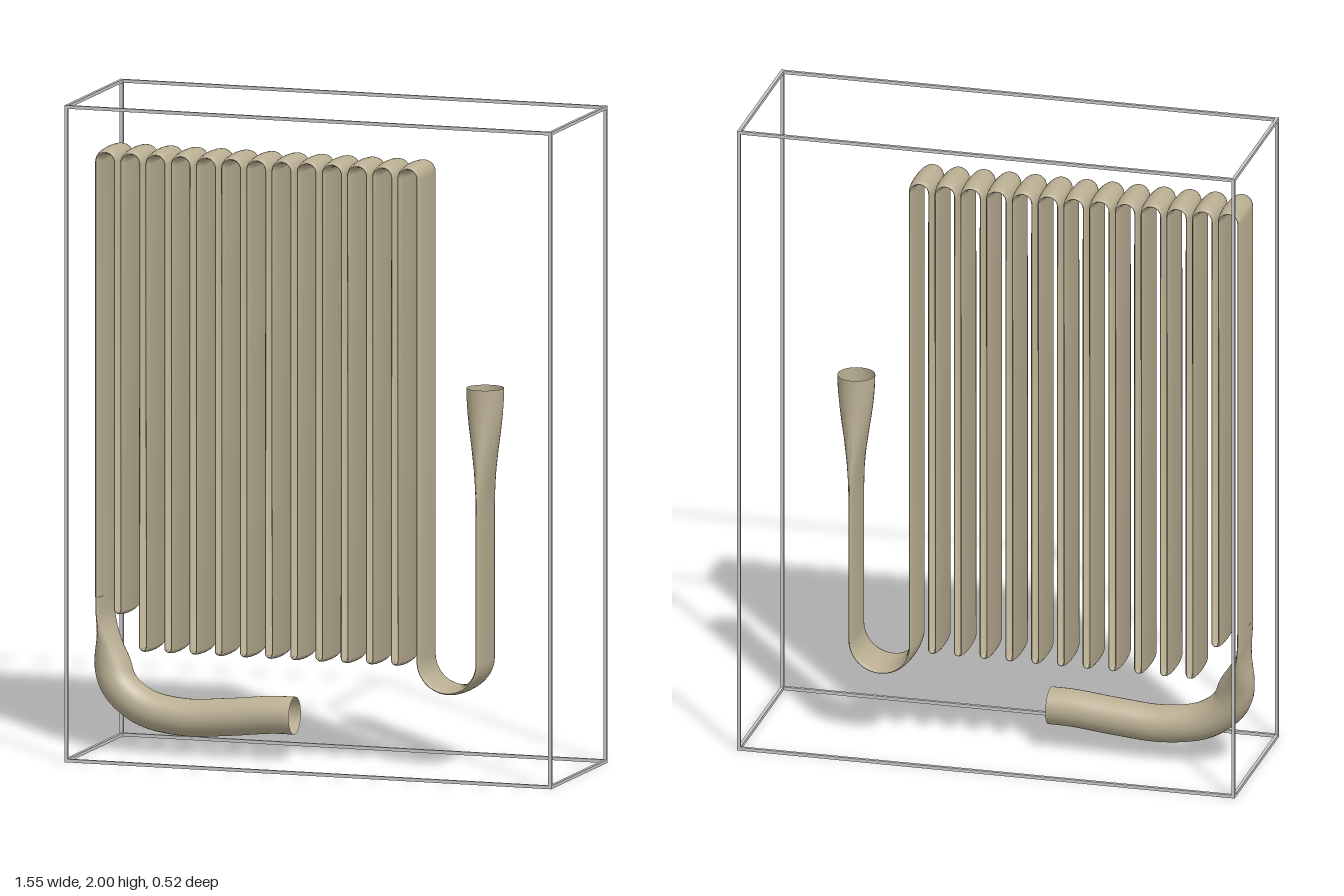
import * as THREE from 'three';
import { toCreasedNormals } from 'three/addons/utils/BufferGeometryUtils.js';

const SIDES = 28;
const ROUND = 0.057;                  // radius of the round ends
const FLAT_W = 0.084, FLAT_T = 0.0105; // half width and half thickness of the flattened tube
const MID_Z = -0.035;
const V = (x, y, z = MID_Z) => new THREE.Vector3(x, y, z);

// Sweep a section that morphs from round (flat = 0) to a thin ellipse (flat = 1)
function sweep(points, flatAt) {
  const pos = [], index = [];
  points.forEach((p, i) => {
    const a = points[Math.max(i - 1, 0)], b = points[Math.min(i + 1, points.length - 1)];
    const T = b.clone().sub(a).normalize();
    const N = new THREE.Vector3(T.y, -T.x, 0).normalize();
    const B = T.clone().cross(N);
    const f = flatAt(p);
    const w = THREE.MathUtils.lerp(ROUND, FLAT_W, f), n = THREE.MathUtils.lerp(ROUND, FLAT_T, f);
    for (let j = 0; j < SIDES; j++) {
      const t = (j / SIDES) * Math.PI * 2;
      const q = p.clone().addScaledVector(B, w * Math.cos(t)).addScaledVector(N, n * Math.sin(t));
      pos.push(q.x, q.y, q.z);
      if (i < points.length - 1) {
        const k = (j + 1) % SIDES, r = i * SIDES, s = r + SIDES;
        index.push(r + j, s + j, r + k, r + k, s + j, s + k);
      }
    }
  });
  const g = new THREE.BufferGeometry();
  g.setAttribute('position', new THREE.Float32BufferAttribute(pos, 3));
  g.setIndex(index);
  return toCreasedNormals(g, 1.2);
}

// Half turn from the left side to the right side, over the top (dir 1) or under (dir -1)
function halfTurn(cx, cy, r, dir, steps = 14) {
  return Array.from({ length: steps + 1 }, (_, i) => {
    const a = Math.PI * (1 - i / steps);
    return V(cx + r * Math.cos(a), cy + dir * r * Math.sin(a));
  });
}

export function createModel() {
  const model = new THREE.Group();
  const tubeMat = new THREE.MeshStandardMaterial({ color: 0xbaaf93, side: THREE.DoubleSide });
  tubeMat.name = 'tan tube';
  const frameMat = new THREE.MeshStandardMaterial({ color: 0xc8c8c8 });
  frameMat.name = 'light grey frame';

  const add = (name, geometry, material, parent = model) => {
    const mesh = new THREE.Mesh(geometry, material);
    mesh.name = name;
    parent.add(mesh);
    return mesh;
  };

  // Round pipe at the bottom, flattening as it bends upward
  const inletPath = new THREE.CatmullRomCurve3([
    V(-0.13, 0.136, 0.003), V(-0.2, 0.135, 0.003), V(-0.34, 0.121, 0.003), V(-0.48, 0.113, 0.003),
    V(-0.61, 0.138, 0.001), V(-0.69, 0.2, -0.006), V(-0.718, 0.275, -0.018), V(-0.732, 0.34, -0.029),
    V(-0.744, 0.41), V(-0.746, 0.47),
  ]);
  add('inletPipe', sweep(inletPath.getSpacedPoints(60),
    (p) => THREE.MathUtils.smoothstep(p.y, 0.24, 0.41)), tubeMat);

  // Flat serpentine: wide turns on top, tight turns below
  const coil = [V(-0.746, 0.47)];
  for (let i = 0; i < 13; i++) {
    const x = -0.716 + i * 0.08;
    coil.push(...halfTurn(x, 1.797, 0.03, 1));
    if (i < 12) coil.push(...halfTurn(x + 0.04, i === 0 ? 0.437 : 0.327, 0.0105, -1));
  }
  coil.push(V(0.274, 0.34));
  add('serpentineTube', sweep(coil, () => 1), tubeMat);

  // Large U bend rising to a flared open mouth
  const outlet = [V(0.274, 0.34), ...halfTurn(0.368, 0.33, 0.094, -1, 28)];
  for (let i = 0; i <= 20; i++) outlet.push(V(0.462, 0.76 + 0.02 * i));
  add('outletTube', sweep(outlet, (p) => 1 - THREE.MathUtils.smoothstep(p.y, 0.76, 1.16)), tubeMat);

  // Open box frame made of twelve thin bars
  const frame = new THREE.Group();
  frame.name = 'frame';
  model.add(frame);
  const bar = 0.01, size = [1.546, 2, 0.522];
  for (let axis = 0; axis < 3; axis++) {
    for (const s of [-1, 1]) for (const t of [-1, 1]) {
      const dims = [bar, bar, bar], at = [0, 0, 0];
      const b = (axis + 1) % 3, c = (axis + 2) % 3;
      dims[axis] = size[axis];
      at[b] = (s * (size[b] - bar)) / 2;
      at[c] = (t * (size[c] - bar)) / 2;
      add('frameBar', new THREE.BoxGeometry(...dims), frameMat, frame)
        .position.set(at[0], at[1] + 1, at[2]);
    }
  }
  return model;
}
